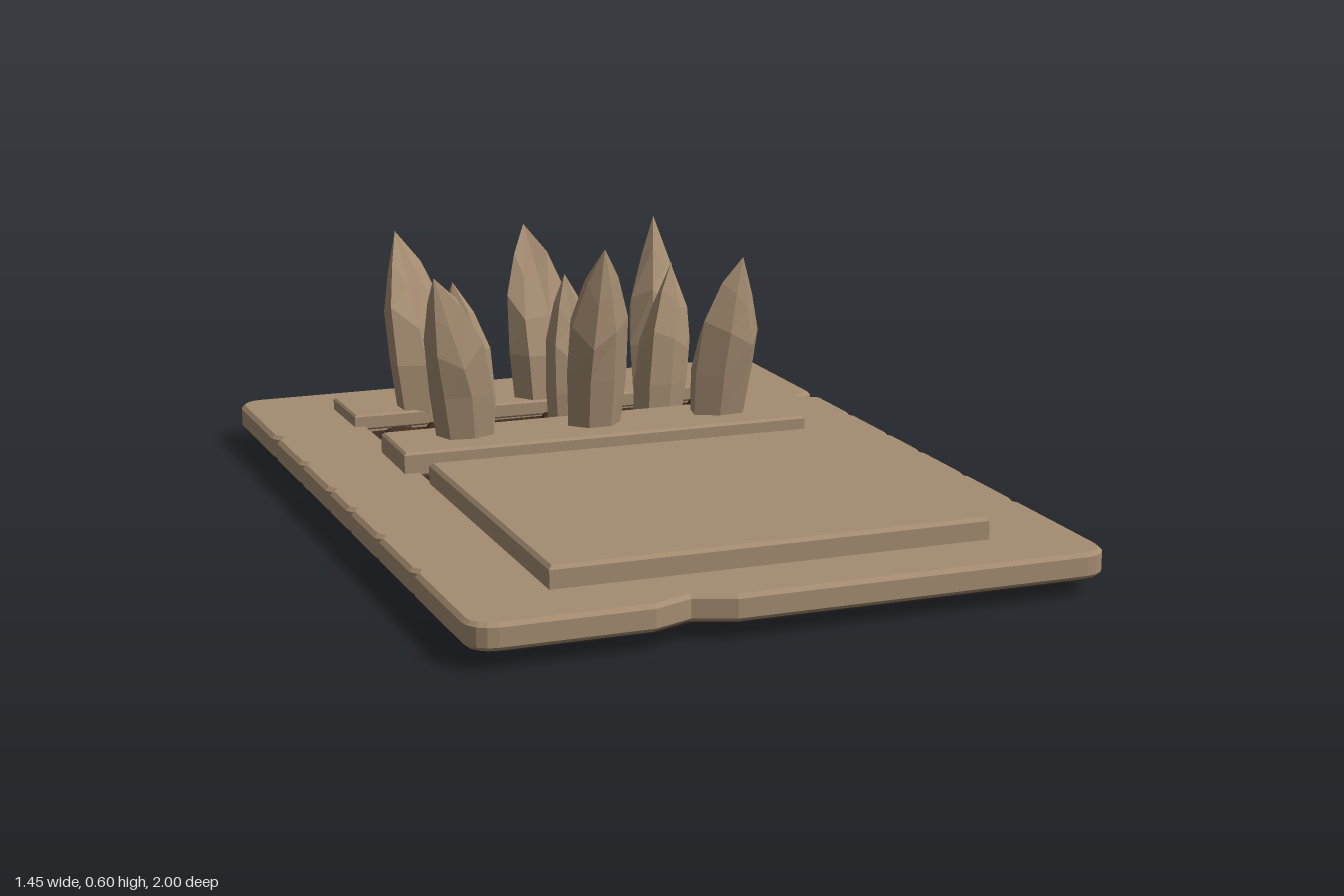
import * as THREE from 'three';

const stone = new THREE.MeshStandardMaterial({ color: 0xa48c71 });
stone.name = 'tan stone';
const earth = new THREE.MeshStandardMaterial({ color: 0x422d22 });
earth.name = 'dark earth';
const under = new THREE.MeshStandardMaterial({ color: 0x2a221a });
under.name = 'underside black';

const rectPath = (x0, z0, x1, z1) => [[x0, z1], [x1, z1], [x1, z0], [x0, z0]];

// Horizontal slab from an outline of [x, z] points, between heights y0 and y1
function slab(name, pts, y0, y1, mat, bevel = 0, holes = []) {
  const toV = ([x, z]) => new THREE.Vector2(x, -z);
  const shape = new THREE.Shape(pts.map(toV));
  for (const h of holes) shape.holes.push(new THREE.Path(h.map(toV)));
  const g = new THREE.ExtrudeGeometry(shape, {
    depth: y1 - y0 - 2 * bevel, bevelEnabled: bevel > 0, bevelThickness: bevel,
    bevelSize: bevel, bevelOffset: -bevel, bevelSegments: 1,
  });
  g.rotateX(-Math.PI / 2).translate(0, y0 + bevel, 0);
  const mesh = new THREE.Mesh(g, mat);
  mesh.name = name;
  return mesh;
}

// Worn rim outline with rounded corners and small chips between the blocks
function rimOutline() {
  const X = 0.725, Z = 1, r = 0.06, pts = [];
  const corner = (cx, cz, a0) => {
    for (let i = 0; i <= 4; i++) {
      const a = a0 + (i / 4) * Math.PI / 2;
      pts.push([cx + r * Math.cos(a), cz - r * Math.sin(a)]);
    }
  };
  const chip = (x, z, dx, dz, nx, nz, w, d) => pts.push(
    [x - dx * w, z - dz * w], [x + nx * d, z + nz * d], [x + dx * w, z + dz * w]);
  // right edge, front to back
  corner(X - r, Z - r, -Math.PI / 2);
  for (const z of [0.57, 0.33, 0.1, -0.08, -0.3]) chip(X, z, 0, -1, -1, 0, 0.02, 0.01);
  chip(X, -0.53, 0, -1, -1, 0, 0.035, 0.045);
  // back edge
  corner(X - r, -Z + r, 0);
  for (const x of [0.3, -0.15]) chip(x, -Z, -1, 0, 0, 1, 0.025, 0.01);
  // left edge, back to front
  corner(-X + r, -Z + r, Math.PI / 2);
  chip(-X, -0.59, 0, 1, 1, 0, 0.025, 0.016);
  for (const z of [-0.33, -0.08, 0.1, 0.33, 0.6]) chip(-X, z, 0, 1, 1, 0, 0.02, 0.012);
  // front edge
  corner(-X + r, Z - r, Math.PI);
  chip(-0.24, Z, 1, 0, 0, -1, 0.09, 0.035);
  return pts;
}

// Faceted stone spike: rings swept from a base point towards a leaning tip
function spike(name, base, tip, rx, rz, turn) {
  const n = 7, rings = [[0, 0.86], [0.28, 0.97], [0.54, 0.92], [0.77, 0.52], [1, 0]];
  const pos = [], idx = [];
  rings.forEach(([t, s], k) => {
    const bend = Math.pow(t, 1.5);
    for (let i = 0; i < n; i++) {
      const a = turn + (i / n) * Math.PI * 2;
      const rough = 1 + 0.09 * Math.sin(i * 2.7 + turn * 3 + k * 0.35);
      const lift = k === 2 || k === 3 ? 0.035 * Math.sin(i * 1.9 + turn * 5) : 0;
      pos.push(
        THREE.MathUtils.lerp(base[0], tip[0], bend) + Math.cos(a) * rx * s * rough,
        THREE.MathUtils.lerp(base[1], tip[1], t) + lift,
        THREE.MathUtils.lerp(base[2], tip[2], bend) + Math.sin(a) * rz * s * rough);
    }
  });
  for (let k = 0; k < rings.length - 1; k++) {
    for (let i = 0; i < n; i++) {
      const a = k * n + i, b = k * n + (i + 1) % n;
      idx.push(a, a + n, b);
      if (k < rings.length - 2) idx.push(b, a + n, b + n);
    }
  }
  let g = new THREE.BufferGeometry();
  g.setAttribute('position', new THREE.Float32BufferAttribute(pos, 3));
  g.setIndex(idx);
  g = g.toNonIndexed();
  g.computeVertexNormals();
  const mesh = new THREE.Mesh(g, stone);
  mesh.name = name;
  return mesh;
}

export function createModel() {
  const model = new THREE.Group();
  model.name = 'spikeTrap';

  // Rim with an open pit, and its dark underside
  const rim = rimOutline();
  const pit = rectPath(-0.475, -0.64, 0.48, -0.01);
  model.add(slab('rim', rim, 0.04, 0.1, stone, 0.009, [pit]));
  model.add(slab('rimUnderside', rim.map(([x, z]) => [x * 0.987, z * 0.99]), 0.037, 0.041, under, 0, [pit]));

  // Earth tray below, pierced by one small drain hole
  const drain = rectPath(0.08, -0.55, 0.135, -0.505);
  const tray = rectPath(-0.52, -0.83, 0.52, 0.83);
  model.add(slab('tray', tray, 0.005, 0.04, earth, 0.006, [drain]));
  model.add(slab('trayUnderside', rectPath(-0.512, -0.822, 0.512, 0.822), 0, 0.006, under, 0, [drain]));
  model.add(slab('pitFloor', rectPath(-0.475, -0.64, 0.48, -0.01), 0.04, 0.08, earth, 0, [drain]));

  // Rubble in the two open strips of the pit
  const rubble = new THREE.Group();
  rubble.name = 'rubble';
  const lump = new THREE.IcosahedronGeometry(1, 0);
  for (const [z0, dz, count] of [[-0.4, 0.05, 9], [-0.56, 0.05, 9], [-0.09, 0.03, 11]]) {
    for (let i = 0; i < count; i++) {
      const x = -0.41 + (0.83 * i) / (count - 1);
      const z = z0 + Math.sin(i * 2.3) * dz * 0.4;
      if (Math.hypot(x - 0.108, z + 0.53) < 0.09) continue;
      const m = new THREE.Mesh(lump, earth);
      m.name = 'rubbleLump';
      m.position.set(x, 0.08, z);
      m.scale.set(0.055, 0.03 + 0.012 * Math.sin(i * 1.7), dz);
      m.rotation.y = Math.sin(i * 3.1) * 0.4;
      rubble.add(m);
    }
  }
  model.add(rubble);

  // Raised cover panel and the two planks
  model.add(slab('coverPanel', [[-0.5, 0.83], [0.515, 0.832], [0.52, -0.03], [-0.49, -0.045]], 0.09, 0.15, stone, 0.008));
  model.add(slab('middlePlank', [[-0.52, -0.145], [0, -0.14], [0.515, -0.14], [0.52, -0.36], [-0.515, -0.36]], 0.09, 0.15, stone, 0.006));
  model.add(slab('backPlank', [[-0.51, -0.62], [0, -0.608], [0.52, -0.615], [0.52, -0.835], [0, -0.815], [-0.51, -0.825]], 0.09, 0.13, stone, 0.005));

  // Spikes: name, base, tip, half width in x and z, turn
  const spikes = [
    ['frontLeftSpike', [0.335, 0.14, -0.28], [0.375, 0.55, -0.21], 0.085, 0.075, 0.9],
    ['frontCentreSpike', [0, 0.14, -0.275], [0, 0.6, -0.18], 0.077, 0.075, 0.22],
    ['frontRightSpike', [-0.33, 0.14, -0.28], [-0.425, 0.555, -0.2], 0.08, 0.075, 0.5],
    ['middleLeftSpike', [0.25, 0.07, -0.485], [0.3, 0.49, -0.5], 0.07, 0.065, 1.3],
    ['middleCentreSpike', [0.02, 0.07, -0.485], [0.01, 0.48, -0.5], 0.068, 0.065, 0.6],
    ['middleRightSpike', [-0.25, 0.07, -0.485], [-0.285, 0.48, -0.5], 0.072, 0.065, 0.1],
    ['backLeftSpike', [0.33, 0.12, -0.67], [0.36, 0.56, -0.78], 0.085, 0.075, 1.1],
    ['backCentreSpike', [0.005, 0.12, -0.67], [0, 0.56, -0.79], 0.085, 0.075, 0.35],
    ['backRightSpike', [-0.31, 0.12, -0.67], [-0.35, 0.565, -0.78], 0.088, 0.075, 0.7],
  ];
  for (const s of spikes) model.add(spike(...s));
  return model;
}
